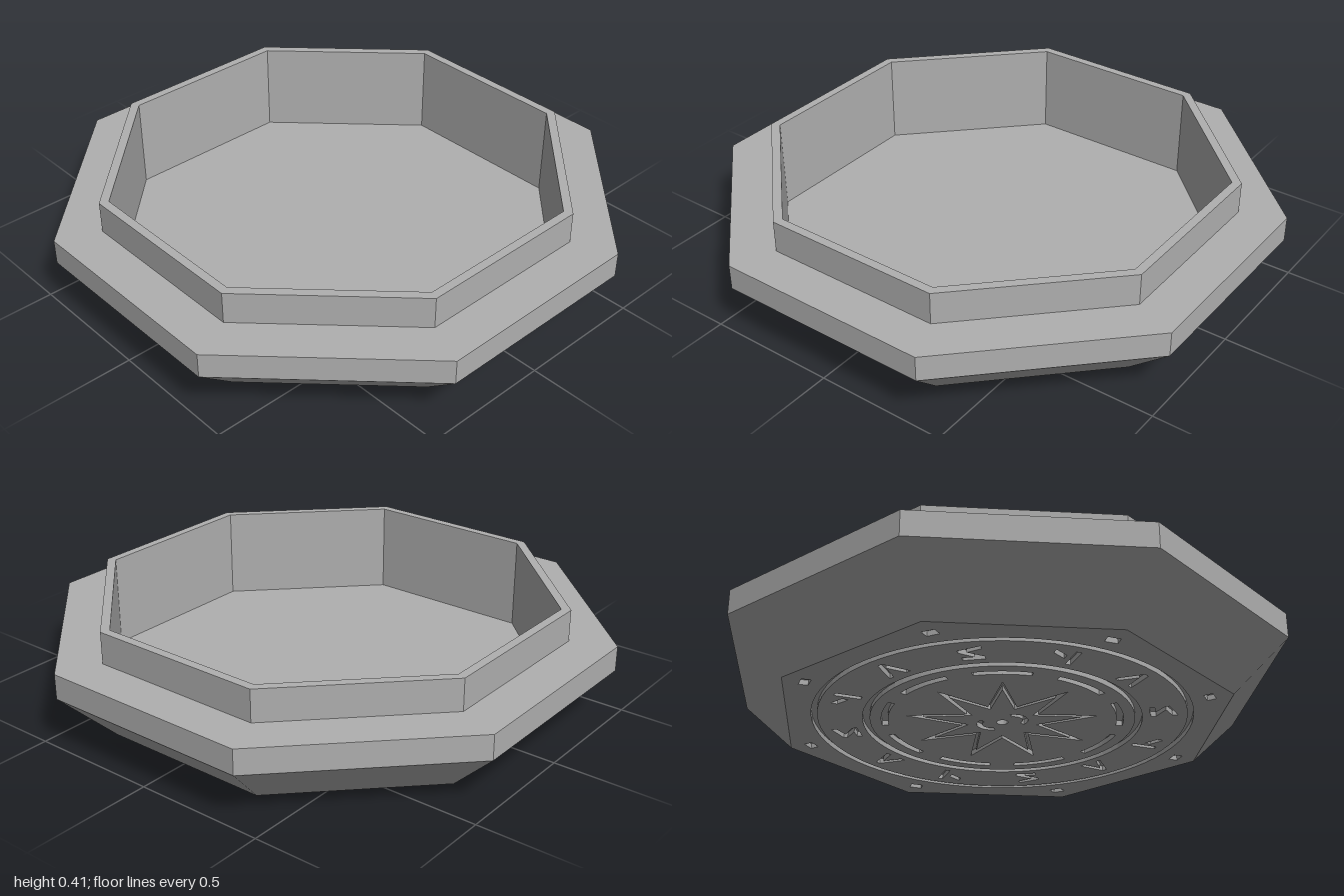
import * as THREE from 'three';
import { toCreasedNormals } from 'three/addons/utils/BufferGeometryUtils.js';

const ENGRAVE = 0.02; // depth of the underside grooves
const OCT = 1 / Math.cos(Math.PI / 8); // apothem to corner radius

const V = (x, y) => new THREE.Vector2(x, y);
const polar = (r, a) => V(r * Math.cos(a), r * Math.sin(a));
const ngon = (n, r, start = 0) =>
  Array.from({ length: n }, (_, i) => polar(r, start + (i / n) * Math.PI * 2));
const star = (n, outer, inner, start) =>
  Array.from({ length: n * 2 }, (_, i) => polar(i % 2 ? inner : outer, start + (i / n) * Math.PI));

// Curved slot between two radii
function slot(cx, cy, r0, r1, a0, a1, steps = 8) {
  const out = [], back = [];
  for (let i = 0; i <= steps; i++) {
    const a = a0 + ((a1 - a0) * i) / steps;
    out.push(polar(r1, a).add(V(cx, cy)));
    back.unshift(polar(r0, a).add(V(cx, cy)));
  }
  return [...out, ...back];
}

// Small outline placed at a radius and turned to face the centre
const place = (pts, r, a) =>
  pts.map(([x, y]) => V(r + y, x).rotateAround(V(0, 0), a));

// Abstract ornament notches
const NOTCHES = [
  [[[-0.05, -0.05], [-0.03, -0.05], [0, 0.02], [0.03, -0.05], [0.05, -0.05], [0.01, 0.05], [-0.01, 0.05]]],
  [[[-0.045, -0.05], [-0.025, -0.05], [-0.025, 0.05], [-0.045, 0.05]],
    [[-0.005, -0.01], [0.045, 0.02], [0.045, 0.045], [-0.005, 0.015]]],
  [[[-0.04, 0.05], [-0.04, 0.03], [0.015, 0.01], [-0.04, -0.03], [-0.04, -0.05], [0.04, -0.05],
    [0.04, -0.03], [-0.005, -0.03], [0.045, 0.01], [0.045, 0.025]]],
];

// Slab standing on y = 0 with the given cut-outs
function slab(name, outline, holes, material) {
  const shape = new THREE.Shape(outline);
  shape.holes = holes.map((h) => new THREE.Path(h));
  const g = new THREE.ExtrudeGeometry(shape, { depth: ENGRAVE, bevelEnabled: false });
  g.rotateX(Math.PI / 2).translate(0, ENGRAVE, 0);
  const mesh = new THREE.Mesh(g, material);
  mesh.name = name;
  return mesh;
}

export function createModel() {
  const model = new THREE.Group();
  model.name = 'octagonalTray';
  const grey = new THREE.MeshStandardMaterial({ color: 0xb0b0b0 });
  grey.name = 'stone grey';

  // Tray: tapered foot, wide ledge, raised rim, hollow inside
  const profile = [
    [0.805, 0], [1, 0.197], [1, 0.293], [0.838, 0.293],
    [0.838, 0.415], [0.805, 0.415], [0.805, 0.06], [0, 0.06],
  ].map(([r, y]) => V(r * OCT, y));
  const tray = new THREE.Mesh(
    toCreasedNormals(new THREE.LatheGeometry(profile, 8, Math.PI / 8), 0.1), grey);
  tray.name = 'tray';
  model.add(tray);

  // Bottom of the grooves, facing down
  const bed = new THREE.Mesh(new THREE.CircleGeometry(0.8 * OCT, 8, Math.PI / 8), grey);
  bed.rotation.x = Math.PI / 2;
  bed.position.y = ENGRAVE - 0.0005;
  bed.name = 'grooveBed';
  model.add(bed);

  // Outer octagon with a pocket near every corner
  const pocket = [[-0.028, -0.014], [0.02, -0.02], [0.028, 0.014], [-0.02, 0.02]];
  const pockets = Array.from({ length: 8 }, (_, i) => place(pocket, 0.785, Math.PI / 8 + (i * Math.PI) / 4));
  model.add(slab('underside', ngon(8, 0.805 * OCT, Math.PI / 8), [ngon(72, 0.715), ...pockets], grey));

  // Band of ornament notches
  const notches = [];
  for (let i = 0; i < 12; i++) {
    for (const n of NOTCHES[i % 3]) notches.push(place(n, 0.605, Math.PI + (i * Math.PI) / 6));
  }
  model.add(slab('notchBand', ngon(72, 0.693), [ngon(72, 0.525), ...notches], grey));

  // Inner disc with broken ring and star-shaped cut
  const slots = Array.from({ length: 9 }, (_, i) => {
    const a = Math.PI + (i * Math.PI * 2) / 9;
    return slot(0, 0, 0.43, 0.455, a - 0.24, a + 0.24);
  });
  model.add(slab('innerDisc', ngon(72, 0.498), [star(9, 0.365, 0.155, Math.PI), ...slots], grey));

  // Star with two crescents in the middle
  model.add(slab('star', star(9, 0.3, 0.13, Math.PI), [
    slot(0.012, 0.045, 0.035, 0.055, 0.1, 2.7),
    slot(-0.012, -0.045, 0.035, 0.055, 3.24, 5.84),
    ngon(12, 0.022),
  ], grey));

  return model;
}
